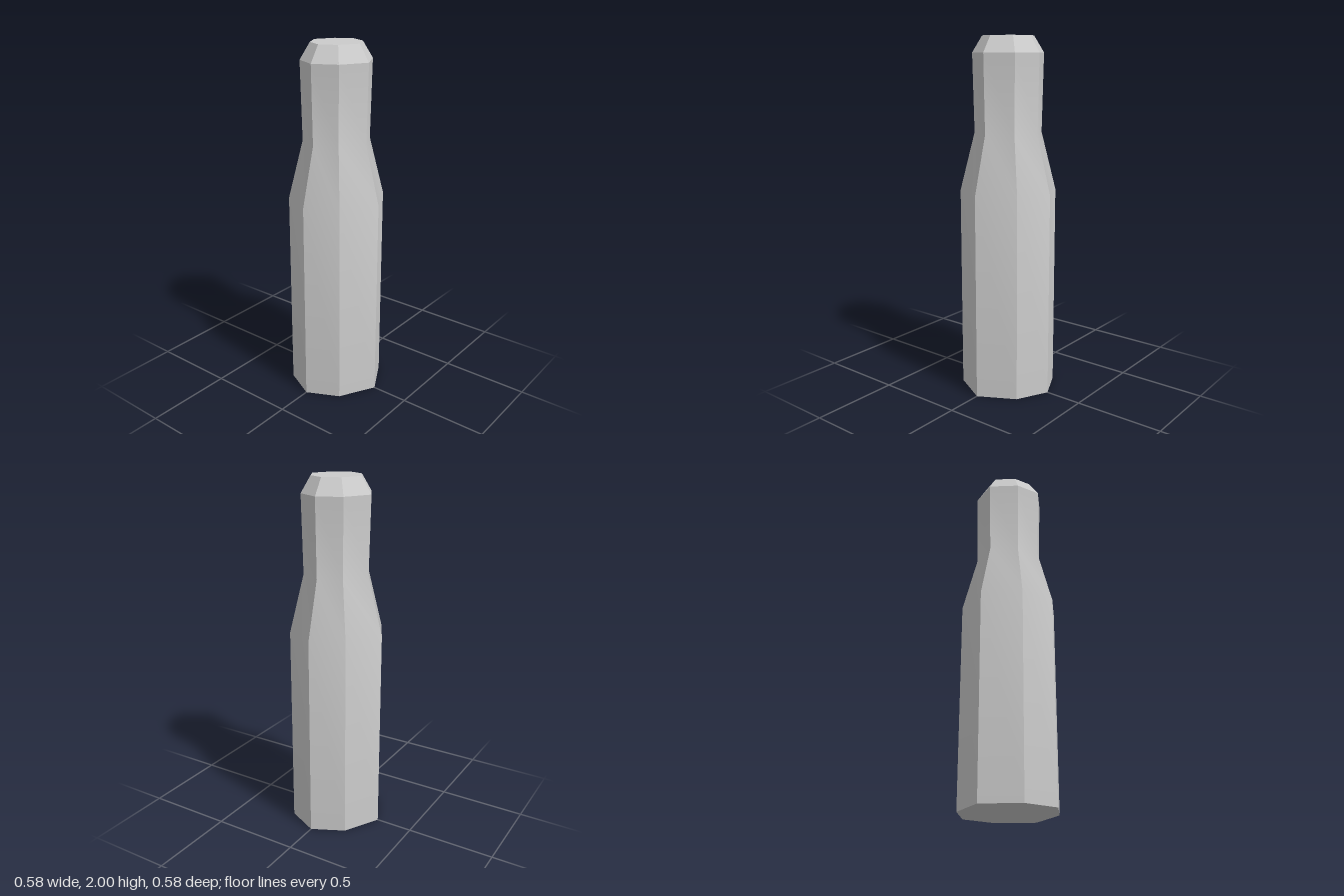
import * as THREE from 'three';
import { toCreasedNormals } from 'three/addons/utils/BufferGeometryUtils.js';

export function createModel() {
  const group = new THREE.Group();
  group.name = 'peg';

  // Profile from base to top: straight body, tapered shoulder, neck, bevelled cap
  const profile = [
    [0, 0], [0.288, 0], [0.288, 1.155], [0.2, 1.48], [0.21, 1.91], [0.151, 2], [0, 2],
  ].map(([r, y]) => new THREE.Vector2(r, y));
  const lathe = new THREE.LatheGeometry(profile, 8);

  // Squeeze the diagonal corners to make the uneven octagon
  const pos = lathe.attributes.position;
  for (let i = 0; i < pos.count; i++) {
    const x = pos.getX(i), z = pos.getZ(i);
    if (Math.abs(x) > 0.01 && Math.abs(z) > 0.01) {
      pos.setX(i, x * 0.874);
      pos.setZ(i, z * 0.985);
    }
  }

  // Sharp column edges and bevel, soft bends along the height
  const body = new THREE.Mesh(
    toCreasedNormals(lathe, 0.45),
    new THREE.MeshStandardMaterial({ color: 0xcccccc }),
  );
  body.name = 'body';
  group.add(body);
  return group;
}
